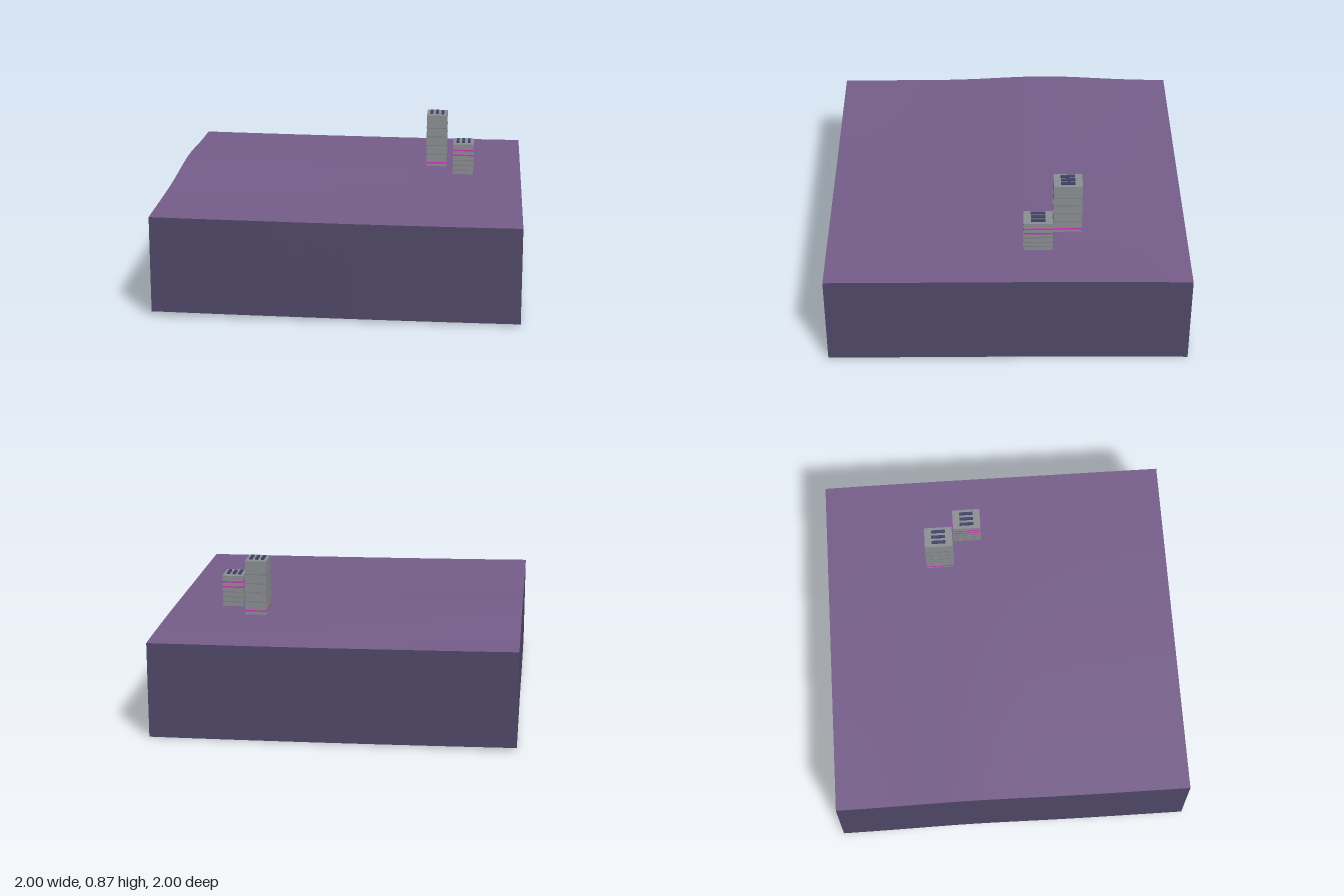
import * as THREE from 'three';

const material = (name, color, side = THREE.FrontSide) => {
  const m = new THREE.MeshStandardMaterial({ color, side });
  m.name = name;
  return m;
};

const SKIRT_DEPTH = 0.534;

// Gently rolling ground: a ridge along the -x edge that fades towards +x
function groundHeight(x, z) {
  const left = 0.555 + 0.005 * z + 0.029 * Math.exp(-(((z + 0.25) / 0.42) ** 2));
  const right = 0.543 - 0.009 * Math.max(0, -z) ** 3;
  return right + (left - right) * ((1 - x) / 2) ** 1.8;
}

export function createModel() {
  const model = new THREE.Group();
  model.name = 'terrainTile';
  const ground = material('purple ground', 0x755d8a, THREE.DoubleSide);
  const earth = material('dark violet earth', 0x504868, THREE.DoubleSide);
  const concrete = material('grey concrete', 0x8b8e92);
  const ledge = material('dark grey ledge', 0x787b80);
  const neon = material('magenta neon', 0xd02fc0);
  const ventMat = material('slate vent', 0x3f4266);

  const add = (parent, name, geometry, mat, x = 0, y = 0, z = 0) => {
    const mesh = new THREE.Mesh(geometry, mat);
    mesh.name = name;
    mesh.position.set(x, y, z);
    parent.add(mesh);
    return mesh;
  };

  // Ground surface
  const top = new THREE.PlaneGeometry(2, 2, 40, 40).rotateX(-Math.PI / 2);
  const p = top.attributes.position;
  for (let i = 0; i < p.count; i++) p.setY(i, groundHeight(p.getX(i), p.getZ(i)));
  top.computeVertexNormals();
  add(model, 'ground', top, ground);

  // Four side walls, whose lower rim follows the ground; the underside is open
  ['frontWall', 'leftWall', 'backWall', 'rightWall'].forEach((name, side) => {
    const wall = new THREE.PlaneGeometry(2, 1, 40, 1);
    wall.translate(0, 0, 1).rotateY(side * Math.PI / 2);
    const q = wall.attributes.position;
    for (let i = 0; i < q.count; i++) {
      const h = groundHeight(q.getX(i), q.getZ(i));
      q.setY(i, q.getY(i) > 0 ? h : h - SKIRT_DEPTH);
    }
    wall.computeVertexNormals();
    add(model, name, wall, earth);
  });

  // Tower with floor bands (some glowing) and three roof vents
  function tower(name, x, z, roofY, firstBand, spacing, glowing) {
    const group = new THREE.Group();
    group.name = name;
    group.position.set(x, 0, z);
    const w = 0.12, d = 0.16, base = 0.54;
    add(group, 'towerBody', new THREE.BoxGeometry(w, roofY - base, d), concrete, 0, (roofY + base) / 2);
    for (let k = 0; k < 5; k++) {
      const lit = glowing.includes(k);
      const band = new THREE.BoxGeometry(w + 0.003, lit ? 0.008 : 0.004, d + 0.003);
      add(group, lit ? 'neonBand' : 'floorLedge', band, lit ? neon : ledge, 0, firstBand + k * spacing);
    }
    for (const vx of [-0.033, 0, 0.033]) {
      add(group, 'roofVent', new THREE.BoxGeometry(0.016, 0.009, 0.08), ventMat, vx, roofY + 0.0045);
    }
    model.add(group);
  }
  tower('tallTower', 0.5, -0.335, 0.856, 0.567, 0.053, [0]);
  tower('shortTower', 0.662, -0.167, 0.724, 0.57, 0.0295, [3, 4]);

  return model;
}
